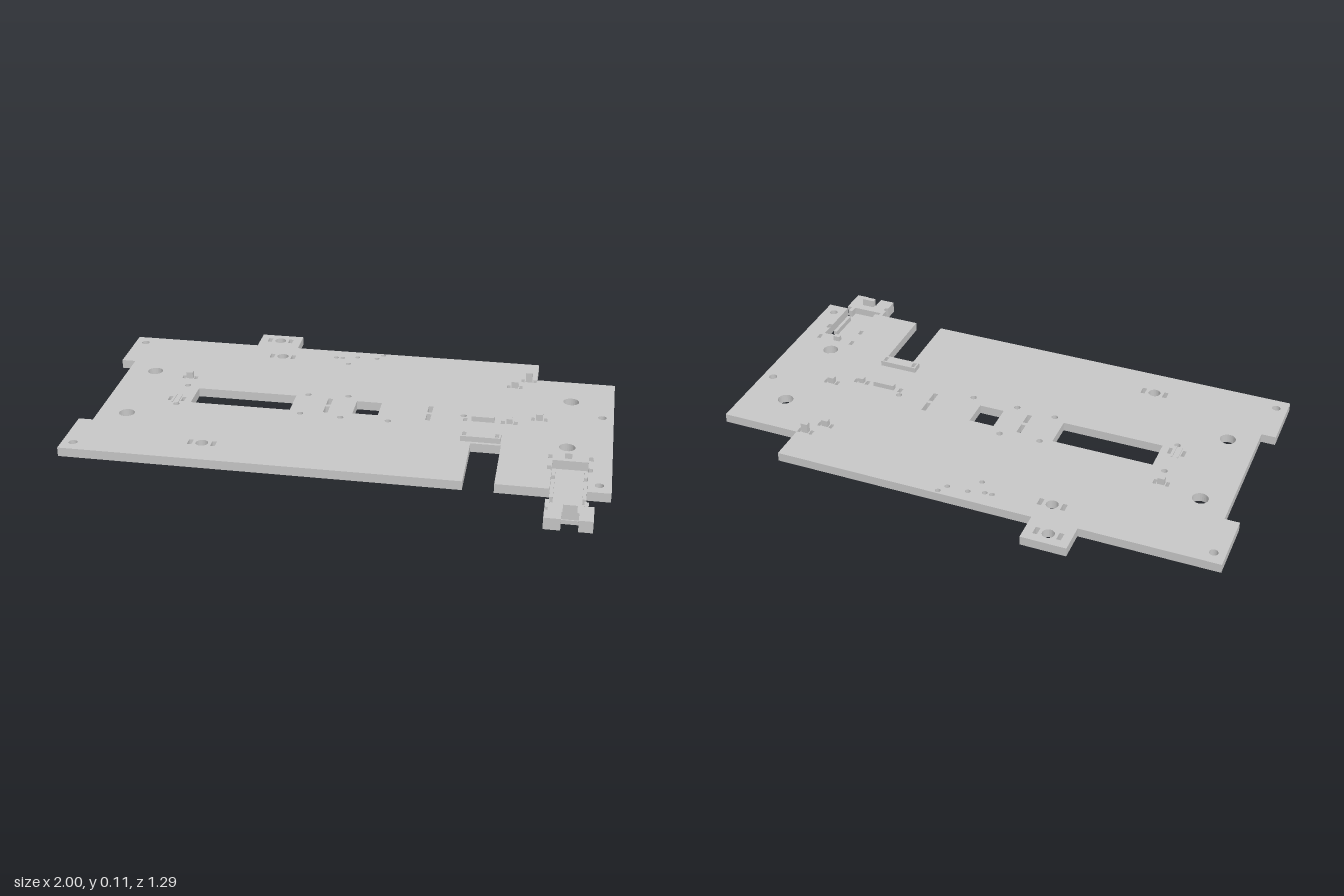
import * as THREE from 'three';

export function createModel() {
  const root = new THREE.Group();
  root.name = 'mountingPlate';
  const grey = new THREE.MeshStandardMaterial({ color: 0xc6c6c6 });
  grey.name = 'grey';
  const BOTTOM = 0.037, TOP = 0.072;

  // Box given by its limits on each axis
  const box = (name, x0, x1, y0, y1, z0, z1, parent = root) => {
    const m = new THREE.Mesh(new THREE.BoxGeometry(x1 - x0, y1 - y0, z1 - z0), grey);
    m.position.set((x0 + x1) / 2, (y0 + y1) / 2, (z0 + z1) / 2);
    m.name = name;
    parent.add(m);
  };

  // Plate outline, counter-clockwise when drawn in (x, -z)
  const outline = [
    [-1, -0.29], [-0.945, -0.29], [-0.945, 0.25], [-1, 0.25], [-1, 0.49],
    [0.483, 0.49], [0.483, 0.2], [0.595, 0.2], [0.595, 0.49],
    [0.787, 0.49], [0.787, 0.277], [0.916, 0.277], [0.916, 0.49],
    [1, 0.49], [1, -0.385], [0.693, -0.385], [0.693, -0.53],
    [-0.313, -0.53], [-0.313, -0.645], [-0.485, -0.645], [-0.485, -0.53], [-1, -0.53],
  ];
  const shape = new THREE.Shape(outline.map(([x, z]) => new THREE.Vector2(x, -z)));
  const round = (x, z, r) => {
    const p = new THREE.Path();
    p.absarc(x, -z, r, 0, Math.PI * 2, true);
    shape.holes.push(p);
  };
  const slot = (x, z, w, h) => {
    const a = w / 2, b = h / 2;
    shape.holes.push(new THREE.Path([[-a, -b], [-a, b], [a, b], [a, -b]]
      .map(([u, v]) => new THREE.Vector2(x + u, -z + v))));
  };

  // Corner screw holes and large mounting holes
  for (const [x, z] of [[-0.957, -0.478], [-0.957, 0.439], [0.957, -0.09], [0.957, 0.439]]) round(x, z, 0.016);
  for (const x of [-0.835, 0.835]) for (const z of [-0.21, 0.172]) round(x, z, 0.03);

  // Round holes flanked by two slots
  for (const [x, z] of [[-0.4, -0.593], [-0.357, -0.438], [-0.489, 0.364]]) {
    round(x, z, 0.023);
    for (const s of [-1, 1]) slot(x + s * 0.044, z, 0.017, 0.036);
  }

  // Small guide holes
  for (const [x, z] of [[-0.67, -0.103], [-0.67, 0.065], [-0.182, -0.1], [-0.182, 0.065],
    [-0.025, -0.112], [-0.025, 0.072], [0.158, 0.072], [0.436, -0.02]]) round(x, z, 0.012);

  // Windows and tie slots
  slot(-0.423, -0.02, 0.392, 0.126);
  slot(0.064, -0.022, 0.098, 0.106);
  for (const x of [-0.089, 0.305]) for (const z of [-0.053, 0.015]) slot(x, z, 0.018, 0.052);

  // Clips standing between pairs of slots: x, z, top height
  for (const [x, z, top] of [[-0.68, -0.176, 0.098], [0.61, -0.306, 0.098],
    [0.662, -0.37, 0.111], [0.722, -0.036, 0.097]]) {
    for (const s of [-1, 1]) slot(x + s * 0.024, z, 0.013, 0.026);
    box('clip', x - 0.013, x + 0.013, TOP - 0.005, top, z - 0.01, z + 0.01);
  }

  // Low twin ribs between two slots
  for (const s of [-1, 1]) {
    const x = -0.68 + s * 0.011;
    slot(-0.68 + s * 0.026, 0.022, 0.013, 0.036);
    box('rib', x - 0.003, x + 0.003, BOTTOM, 0.075, -0.012, 0.055);
  }

  // Long clip beside a short one
  for (const x of [0.445, 0.588, 0.636]) slot(x, 0.01, 0.015, 0.026);
  box('longClip', 0.47, 0.556, TOP - 0.005, 0.092, 0, 0.02);
  box('shortClip', 0.601, 0.623, TOP - 0.005, 0.092, 0, 0.02);

  // Bridge frame behind the front slot
  for (const x of [0.457, 0.578]) slot(x, 0.165, 0.014, 0.026);
  const bridge = new THREE.Group();
  bridge.name = 'bridge';
  root.add(bridge);
  box('bridgeBody', 0.464, 0.571, TOP - 0.005, 0.093, 0.145, 0.187, bridge);
  for (const [a, b] of [[0.45, 0.464], [0.571, 0.585]]) {
    box('bridgeBackRail', a, b, TOP - 0.005, 0.093, 0.145, 0.152, bridge);
    box('bridgeFrontRail', a, b, TOP - 0.005, 0.093, 0.179, 0.187, bridge);
  }
  for (const x of [0.443, 0.585]) box('bridgeEnd', x, x + 0.007, TOP - 0.005, 0.093, 0.145, 0.187, bridge);

  // Shallow pits near the back edge
  for (const [x, z] of [[-0.137, -0.465], [-0.11, -0.465], [-0.05, -0.48], [0.03, -0.48],
    [0.052, -0.515], [-0.077, -0.411]]) {
    round(x, z, 0.01);
    const floor = new THREE.Mesh(new THREE.CylinderGeometry(0.01, 0.01, 0.02, 16), grey);
    floor.position.set(x, BOTTOM + 0.01, z);
    floor.name = 'pitFloor';
    root.add(floor);
  }

  // Slots and clip around the front carrier
  for (const x of [0.778, 0.924]) for (const z of [0.25, 0.335]) slot(x, z, 0.015, 0.028);
  box('carrierClip', 0.83, 0.856, TOP - 0.005, 0.093, 0.241, 0.259);

  const geo = new THREE.ExtrudeGeometry(shape, { depth: TOP - BOTTOM, bevelEnabled: false, curveSegments: 12 });
  geo.rotateX(-Math.PI / 2);
  geo.translate(0, BOTTOM, 0);
  const plate = new THREE.Mesh(geo, grey);
  plate.name = 'plate';
  root.add(plate);

  // Carrier hanging under the front notch
  const carrier = new THREE.Group();
  carrier.name = 'carrier';
  root.add(carrier);
  box('carrierFloor', 0.787, 0.916, 0, 0.016, 0.2, 0.6, carrier);
  for (const [z0, z1] of [[0.2, 0.33], [0.355, 0.485]]) {
    box('carrierWall', 0.787, 0.8, 0, BOTTOM, z0, z1, carrier);
    box('carrierWall', 0.903, 0.916, 0, BOTTOM, z0, z1, carrier);
  }
  box('carrierEar', 0.775, 0.79, 0, 0.045, 0.515, 0.57, carrier);
  box('carrierEar', 0.91, 0.925, 0, 0.045, 0.515, 0.57, carrier);
  box('crossBar', 0.787, 0.916, 0, 0.045, 0.545, 0.595, carrier);
  box('forkArm', 0.775, 0.835, 0, 0.045, 0.59, 0.645, carrier);
  box('forkArm', 0.895, 0.945, 0, 0.045, 0.545, 0.645, carrier);
  box('peg', 0.838, 0.888, 0.04, 0.075, 0.578, 0.598, carrier);

  return root;
}
